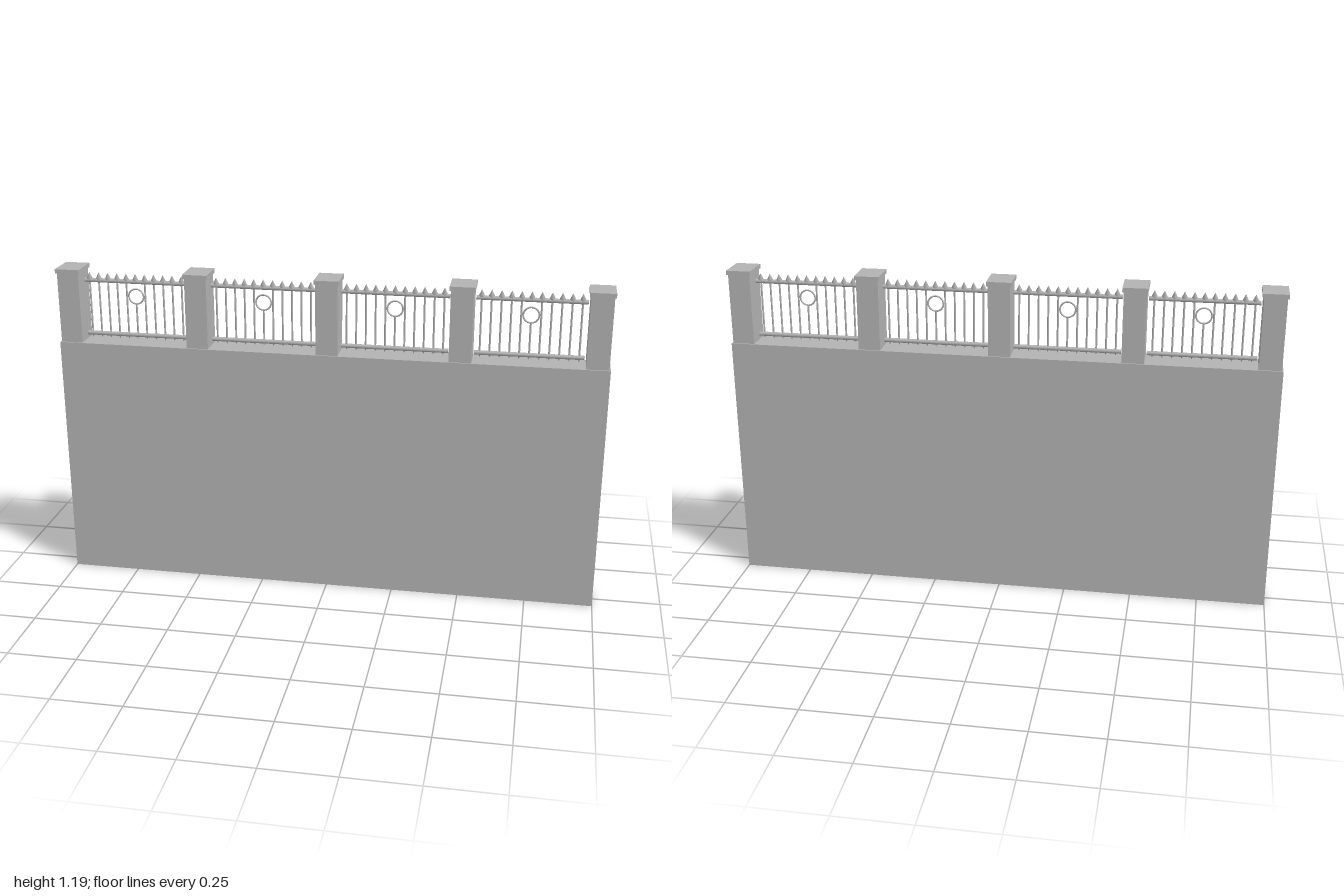
import * as THREE from 'three';

export function createModel() {
  const model = new THREE.Group();
  const stone = new THREE.MeshStandardMaterial({ color: 0xb2b2b2 });
  stone.name = 'grey';

  const add = (parent, name, geometry, x, y, z = 0) => {
    const mesh = new THREE.Mesh(geometry, stone);
    mesh.name = name;
    mesh.position.set(x, y, z);
    parent.add(mesh);
    return mesh;
  };

  const wallTop = 0.917, capBottom = 1.176, top = 1.192;
  const pitch = 0.4775;

  // Solid wall
  add(model, 'wall', new THREE.BoxGeometry(2, wallTop, 0.116), 0, wallTop / 2);

  // Five pillars with flat caps
  const pillarGeo = new THREE.BoxGeometry(0.08, capBottom - wallTop, 0.105);
  const capGeo = new THREE.BoxGeometry(0.09, top - capBottom, 0.116);
  for (let i = -2; i <= 2; i++) {
    add(model, 'pillar', pillarGeo, i * pitch, (wallTop + capBottom) / 2);
    add(model, 'pillarCap', capGeo, i * pitch, (capBottom + top) / 2);
  }

  // Shared railing geometries
  const railGeo = new THREE.CylinderGeometry(0.008, 0.008, 0.386, 12).rotateZ(Math.PI / 2);
  const barGeo = (height) => new THREE.CylinderGeometry(0.0035, 0.0035, height, 8);
  const longBar = barGeo(0.212), shortBar = barGeo(0.13);
  const spear = new THREE.LatheGeometry(
    [[0, -0.006], [0.0045, -0.005], [0.0105, 0.004], [0, 0.026]].map(([x, y]) => new THREE.Vector2(x, y)), 8);
  const foot = new THREE.ConeGeometry(0.005, 0.012, 8).rotateX(Math.PI);
  const ringGeo = new THREE.TorusGeometry(0.028, 0.003, 6, 28);

  // Four railing panels between the pillars
  for (let p = 0; p < 4; p++) {
    const panel = new THREE.Group();
    panel.name = 'railingPanel';
    panel.position.x = (p - 1.5) * pitch;
    model.add(panel);

    add(panel, 'lowerRail', railGeo, 0, 0.942);
    add(panel, 'upperRail', railGeo, 0, 1.143);

    for (let i = -5; i <= 5; i++) {
      const x = i * 0.0348;
      // The middle bar stops below the ring
      if (i === 0) add(panel, 'shortBar', shortBar, x, 0.996);
      else add(panel, 'bar', longBar, x, 1.041);
      add(panel, 'spearTip', spear, x, 1.147);
      add(panel, 'barFoot', foot, x, 0.932);
    }
    add(panel, 'ring', ringGeo, 0, 1.088);
  }
  return model;
}
